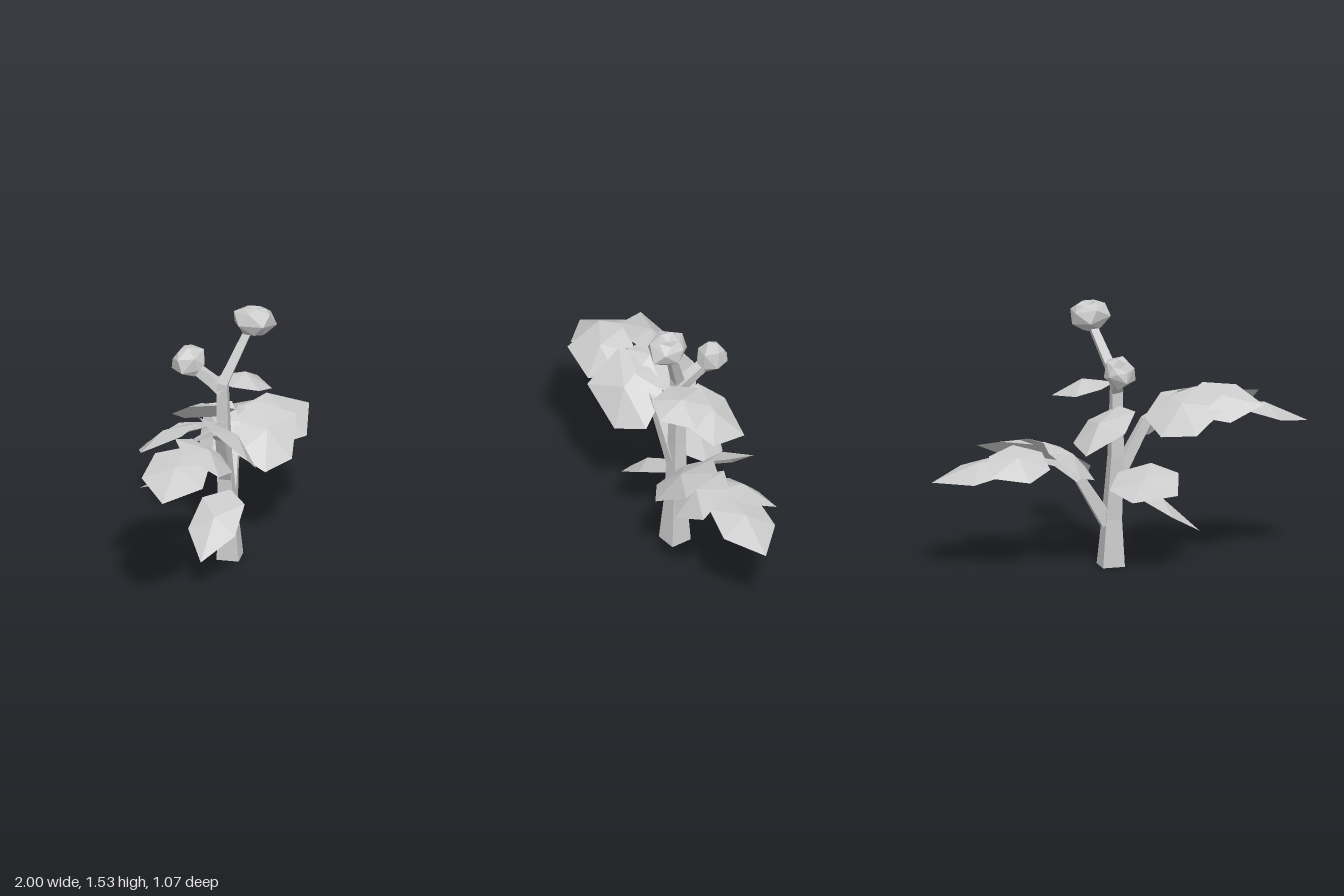
import * as THREE from 'three';

const material = new THREE.MeshStandardMaterial({ color: 0xcccccc, flatShading: true, side: THREE.DoubleSide });
const V = (a) => new THREE.Vector3(...a);

function surface(name, points, faces) {
  const g = new THREE.BufferGeometry();
  g.setAttribute('position', new THREE.Float32BufferAttribute(faces.flatMap((i) => points[i].toArray()), 3));
  g.computeVertexNormals();
  const mesh = new THREE.Mesh(g, material);
  mesh.name = name;
  return mesh;
}

// Tapered, bent four-sided limb: rings of corners along [x, y, z, radius] stations
function limb(name, stations) {
  const pts = [], faces = [];
  const centres = stations.map((s) => V(s.slice(0, 3)));
  stations.forEach((s, k) => {
    const dir = centres[Math.min(k + 1, centres.length - 1)].clone().sub(centres[Math.max(k - 1, 0)]).normalize();
    if (s[1] === 0) dir.set(0, 1, 0);
    const q = new THREE.Quaternion().setFromUnitVectors(new THREE.Vector3(0, 1, 0), dir);
    for (let i = 0; i < 4; i++) {
      const a = ((i - 0.16) / 4) * Math.PI * 2;
      pts.push(new THREE.Vector3(Math.sin(a) * s[3], 0, Math.cos(a) * s[3]).applyQuaternion(q).add(centres[k]));
    }
  });
  const last = (stations.length - 1) * 4;
  for (let k = 0; k < last; k += 4) {
    for (let i = 0; i < 4; i++) {
      const a = k + i, b = k + ((i + 1) % 4);
      faces.push(a, b, b + 4, a, b + 4, a + 4);
    }
  }
  for (let i = 1; i < 3; i++) faces.push(0, i + 1, i, last, last + i, last + i + 1);
  return surface(name, pts, faces);
}

// Pointed leaf with two corners per edge and a raised midrib
function leaf(base, tip, half, rise = 0.05, arch = 0) {
  const b = V(base), t = V(tip), h = V(half);
  const up = t.clone().sub(b).cross(h).normalize();
  if (up.y < 0) up.negate();
  const at = (k, side, lift) => b.clone().lerp(t, k).addScaledVector(h, side).addScaledVector(up, lift + arch);
  const pts = [b, at(0.2, 0.88, 0), at(0.62, 0.97, -0.01), t, at(0.62, -0.97, -0.01), at(0.2, -0.88, 0), at(0.48, 0, rise)];
  const faces = [];
  for (let i = 0; i < 6; i++) faces.push(6, i, (i + 1) % 6);
  return surface('leaf', pts, faces);
}

// Faceted blossom: uneven five-sided rings with a sunken crown
function blossom(name, centre, axis, radius, height) {
  const profile = [[0, -0.5], [0.45, -0.5], [1, -0.12], [0.9, 0.32], [0.5, 0.5], [0, 0.36]];
  const g = new THREE.LatheGeometry(profile.map(([r, y]) => new THREE.Vector2(r * radius, y * height)), 5);
  const p = g.attributes.position;
  for (let i = 0; i < p.count; i++) {
    const row = i % profile.length, col = Math.floor(i / profile.length) % 5;
    const turn = row * 0.45, x = p.getX(i), z = p.getZ(i);
    const k = 1 + 0.1 * Math.sin(col * 2.3 + row);
    p.setXYZ(i, k * (x * Math.cos(turn) + z * Math.sin(turn)), p.getY(i), k * (z * Math.cos(turn) - x * Math.sin(turn)));
  }
  g.computeVertexNormals();
  const mesh = new THREE.Mesh(g, material);
  mesh.name = name;
  mesh.position.set(...centre);
  mesh.quaternion.setFromUnitVectors(new THREE.Vector3(0, 1, 0), V(axis).normalize());
  return mesh;
}

export function createModel() {
  const model = new THREE.Group();
  model.name = 'floweringPlant';

  // Main stem, flower stalks and side branches
  model.add(
    limb('stem', [[0.053, 0, -0.015, 0.092], [0.045, 0.28, -0.02, 0.066], [0.02, 0.65, -0.03, 0.054], [0.015, 1.09, -0.035, 0.042], [0.175, 1.4, 0.025, 0.03]]),
    limb('sideStalk', [[0.015, 1.04, -0.03, 0.045], [0.0, 1.09, -0.1, 0.043], [-0.045, 1.165, -0.21, 0.038]]),
    limb('leftBranch', [[0.02, 0.52, -0.015, 0.05], [-0.13, 0.84, 0.08, 0.038], [-0.24, 0.92, 0.13, 0.028], [-0.48, 0.97, 0.2, 0.012]]),
    limb('rightBranch', [[0.07, 0.26, -0.035, 0.058], [0.21, 0.53, -0.13, 0.04], [0.34, 0.62, -0.17, 0.026], [0.54, 0.67, -0.25, 0.012]]),
  );

  // Leaves as base, tip, half-width vector, midrib rise, arch of the blade
  const clusters = {
    stemLeaves: [
      [[0.02, 0.44, 0.02], [-0.42, 0.18, 0.19], [0.05, 0.0, 0.14], 0.04, 0.03],
      [[0.0, 0.56, -0.05], [-0.41, 0.5, -0.29], [0.11, -0.07, -0.12], 0.04],
      [[0.04, 1.07, 0.01], [0.38, 1.0, -0.1], [0.04, -0.01, 0.16], 0.06],
      [[0.0, 0.95, -0.05], [0.1, 0.73, -0.41], [0.17, -0.05, 0.05]],
    ],
    leftLeaves: [
      [[-0.54, 0.95, 0.2], [-1.0, 0.81, 0.42], [-0.08, 0.01, -0.17]],
      [[-0.46, 0.96, 0.16], [-0.64, 0.89, 0.53], [0.16, -0.09, 0.05]],
      [[-0.14, 0.88, 0.03], [-0.31, 0.86, 0.45], [0.17, -0.17, 0.03], 0.07],
      [[-0.36, 0.99, 0.05], [-0.82, 0.97, 0.09], [-0.02, -0.08, -0.15], 0.045],
      [[-0.14, 0.88, 0.0], [-0.63, 0.97, 0.01], [0.05, 0.1, 0.2], 0.06],
    ],
    rightLeaves: [
      [[0.5, 0.65, -0.25], [1.0, 0.53, -0.44], [0.08, 0.02, 0.16]],
      [[0.35, 0.66, -0.12], [0.82, 0.68, -0.1], [0.0, -0.09, 0.16], 0.06],
      [[0.16, 0.59, -0.06], [0.63, 0.7, -0.02], [-0.04, -0.12, 0.18], 0.05],
      [[0.42, 0.68, -0.17], [0.63, 0.6, -0.54], [0.14, 0.06, 0.06]],
      [[0.18, 0.6, -0.12], [0.31, 0.74, -0.44], [0.12, 0.1, 0.02]],
    ],
  };
  for (const [name, leaves] of Object.entries(clusters)) {
    const group = new THREE.Group();
    group.name = name;
    leaves.forEach((args) => group.add(leaf(...args)));
    model.add(group);
  }

  // Blossoms
  model.add(
    blossom('topBlossom', [0.195, 1.445, 0.045], [0.2, 1, -0.1], 0.122, 0.155),
    blossom('sideBlossom', [-0.05, 1.19, -0.235], [-0.25, 0.5, -0.65], 0.098, 0.16),
  );
  return model;
}
